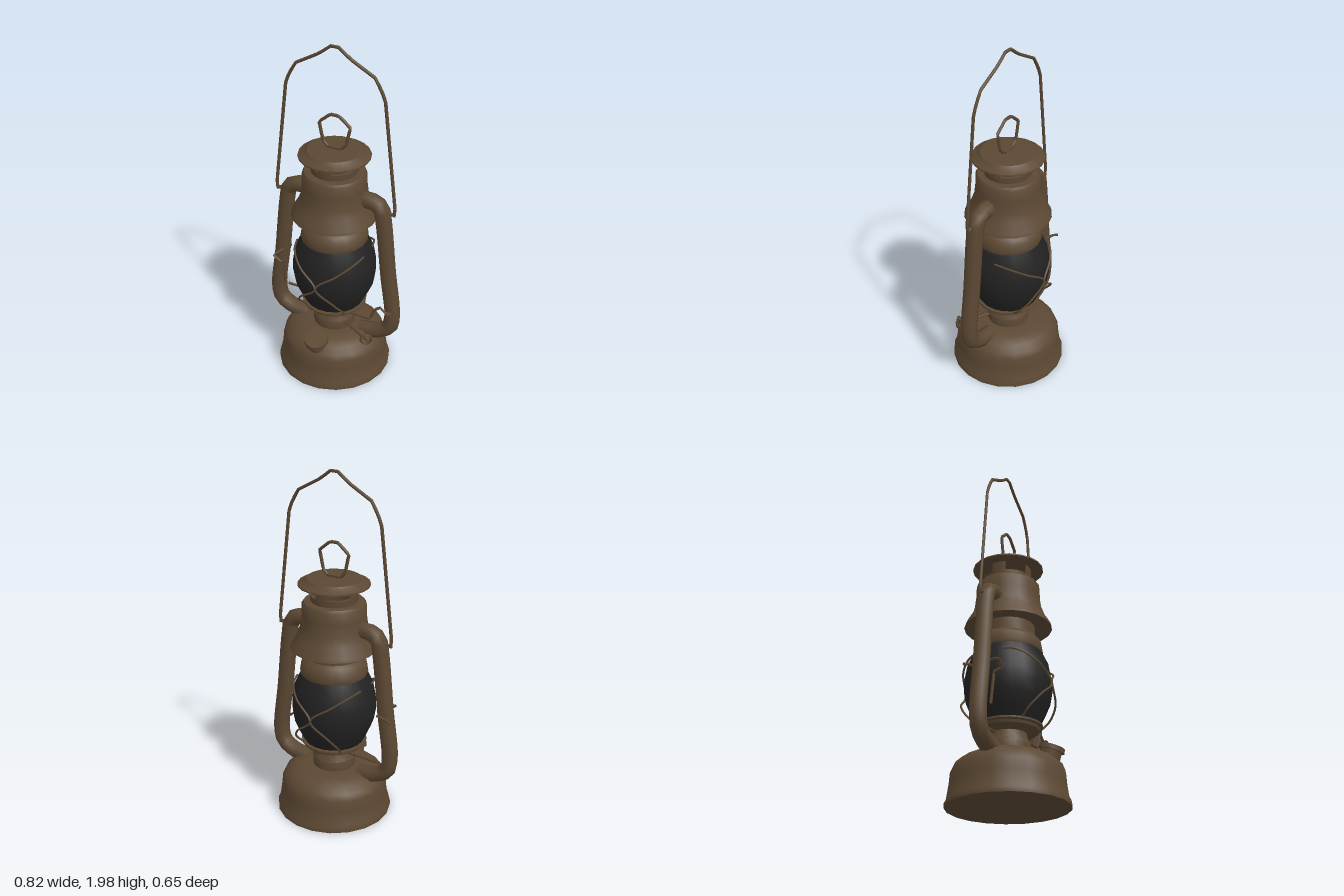
import * as THREE from 'three';
import { toCreasedNormals } from 'three/addons/utils/BufferGeometryUtils.js';

const metal = new THREE.MeshStandardMaterial({ color: 0x5c4833, side: THREE.DoubleSide });
metal.name = 'aged brown metal';
const glass = new THREE.MeshStandardMaterial({ color: 0x222222 });
glass.name = 'sooty glass';

const V = (p) => new THREE.Vector3(...p);

export function createModel() {
  const lantern = new THREE.Group();
  lantern.name = 'lantern';

  const add = (name, geometry, material = metal, parent = lantern) => {
    const mesh = new THREE.Mesh(geometry, material);
    mesh.name = name;
    parent.add(mesh);
    return mesh;
  };

  // Turned part from [radius, height] pairs, bottom to top
  const turned = (name, profile, material = metal) => {
    const points = profile.map(([r, y]) => new THREE.Vector2(r, y));
    const geometry = new THREE.LatheGeometry(points, 20, Math.PI / 20);
    return add(name, toCreasedNormals(geometry, 0.7), material);
  };

  // Bent rod: straight runs with sharp bends, or a smooth curve
  const rod = (name, pts, radius, { smooth = false, closed = false, sides = 6, steps = 4 } = {}) => {
    const points = pts.map(V);
    let path;
    if (smooth) {
      path = new THREE.CatmullRomCurve3(points, closed, 'centripetal');
    } else {
      path = new THREE.CurvePath();
      const last = closed ? points.length : points.length - 1;
      for (let i = 0; i < last; i++) {
        path.add(new THREE.LineCurve3(points[i], points[(i + 1) % points.length]));
      }
    }
    const geometry = new THREE.TubeGeometry(path, pts.length * steps, radius, sides, closed);
    return add(name, geometry);
  };

  // Fuel tank with a hollow underside
  turned('fuelTank', [
    [0, 0.03], [0.2, 0.025], [0.31, 0.008], [0.328, 0.008], [0.328, 0.03], [0.317, 0.05],
    [0.305, 0.13], [0.3, 0.19], [0.285, 0.225], [0.25, 0.255], [0.2, 0.28], [0.12, 0.285], [0, 0.285],
  ]);

  // Burner and globe seat
  turned('burner', [
    [0.12, 0.28], [0.122, 0.34], [0.107, 0.36], [0.1, 0.4], [0.12, 0.41], [0.165, 0.415],
    [0.17, 0.43], [0.185, 0.435], [0.185, 0.445], [0.165, 0.447], [0, 0.447],
  ]);

  // Glass globe
  turned('globe', [
    [0.165, 0.44], [0.195, 0.5], [0.225, 0.57], [0.237, 0.64],
    [0.236, 0.7], [0.222, 0.78], [0.182, 0.865],
  ], glass);

  // Collar above the globe
  turned('globeCollar', [
    [0, 0.855], [0.185, 0.855], [0.19, 0.87], [0.182, 0.92], [0.165, 0.94], [0.148, 0.955], [0.146, 1.05],
  ]);

  // Flared hood
  turned('hood', [
    [0.14, 1.02], [0.225, 1.012], [0.242, 1.012], [0.235, 1.03], [0.205, 1.08], [0.187, 1.13],
    [0.178, 1.2], [0.176, 1.265], [0.165, 1.28], [0.13, 1.283],
  ]);

  // Vented chimney: ring, four posts and a cap
  turned('chimneyRing', [[0.13, 1.28], [0.132, 1.318], [0.115, 1.318], [0.11, 1.28]]);
  for (let i = 0; i < 4; i++) {
    const post = add('ventPost', new THREE.CylinderGeometry(0.13, 0.13, 0.075, 4, 1, true, -0.31, 0.62));
    post.position.y = 1.345;
    post.rotation.y = i * Math.PI / 2;
  }
  turned('chimneyCap', [
    [0, 1.37], [0.13, 1.37], [0.198, 1.372], [0.197, 1.38], [0.16, 1.396],
    [0.15, 1.407], [0.08, 1.412], [0, 1.415],
  ]);

  // Lifting ring on the cap
  rod('capRing', [
    [-0.035, 1.412, 0], [-0.068, 1.445, 0], [-0.09, 1.55, 0], [-0.025, 1.605, 0],
    [0.025, 1.605, 0], [0.09, 1.55, 0], [0.068, 1.445, 0], [0.035, 1.412, 0],
  ], 0.009, { closed: true });
  const lug = add('capRingLug', new THREE.BoxGeometry(0.08, 0.02, 0.03));
  lug.position.y = 1.415;

  // Carrying handle with small end hooks
  const half = [[0.35, 1.08], [0.357, 1.1], [0.28, 1.75], [0.225, 1.855], [0.09, 1.93], [0.05, 1.96], [0.03, 1.98]];
  rod('carryHandle', [
    ...half.map(([x, y]) => [-x, y, 0]), [0, 1.99, 0], ...half.reverse().map(([x, y]) => [x, y, 0]),
  ], 0.009, { steps: 3 });

  for (const s of [-1, 1]) {
    // Hollow side tube from hood to tank
    rod('sideTube', [
      [s * 0.14, 1.14, 0], [s * 0.23, 1.14, 0], [s * 0.275, 1.11, 0], [s * 0.292, 1.03, 0],
      [s * 0.328, 0.7, 0], [s * 0.362, 0.41, 0], [s * 0.345, 0.33, 0], [s * 0.28, 0.285, 0], [s * 0.17, 0.262, 0],
    ], 0.047, { smooth: true, sides: 8, steps: 3 });

    // Handle eyelet on the tube shoulder
    rod('handleHook', [[s * 0.28, 1.1, 0], [s * 0.355, 1.085, 0]], 0.009);

    // Crossed guard wires, front (s = 1) and back (s = -1)
    for (const m of [-1, 1]) {
      rod('guardWire', [
        [m * 0.205, 0.81, s * 0.06], [m * 0.18, 0.795, s * 0.14], [m * 0.11, 0.745, s * 0.215],
        [0, 0.655, s * 0.252], [m * 0.1, 0.56, s * 0.23], [m * 0.135, 0.49, s * 0.18], [m * 0.12, 0.44, s * 0.13],
      ], 0.006, { smooth: true, sides: 5 });
    }
    // Guard wire loop standing off the globe
    rod('guardLoop', [
      [-0.16, 0.8, s * 0.12], [-0.09, 0.775, s * 0.215], [-0.02, 0.68, s * 0.262],
      [0.02, 0.6, s * 0.262], [0.07, 0.5, s * 0.21], [0.1, 0.44, s * 0.14],
    ].map(([x, y, z]) => [x * 0.9, y, z]), 0.004, { smooth: true, sides: 5 }).visible = false;
  }
  lantern.children.filter((c) => !c.visible).forEach((c) => lantern.remove(c));

  // Filler cap, tilted outwards on the tank shoulder
  const filler = new THREE.Group();
  filler.name = 'fillerCap';
  filler.position.set(0, 0.265, 0.235);
  filler.rotation.x = 0.32;
  lantern.add(filler);
  add('fillerNeck', new THREE.CylinderGeometry(0.055, 0.06, 0.07, 12), metal, filler).position.y = -0.015;
  add('fillerLid', new THREE.CylinderGeometry(0.066, 0.07, 0.025, 12), metal, filler).position.y = 0.03;

  // Wick adjuster: stem and ring
  rod('wickStem', [[0.08, 0.325, 0.05], [0.285, 0.325, 0.165]], 0.008);
  const wickRing = add('wickRing', new THREE.TorusGeometry(0.03, 0.008, 6, 12));
  wickRing.position.set(0.27, 0.327, 0.157);
  wickRing.rotation.y = 0.5;

  // Globe lifting lever: crossbar and bent thumb grip
  rod('globeLever', [
    [-0.325, 0.395, -0.05], [-0.1, 0.395, -0.04], [0.1, 0.395, 0.05], [0.25, 0.397, 0.06],
    [0.28, 0.475, 0.06], [0.31, 0.492, 0.055], [0.335, 0.47, 0.055], [0.37, 0.45, 0.058],
  ], 0.008);
  const grip = add('leverGrip', new THREE.BoxGeometry(0.025, 0.03, 0.025));
  grip.position.set(0.365, 0.455, 0.06);

  // Wire catch on the right tube
  rod('wireCatch', [
    [-0.3, 0.47, 0.04], [-0.295, 0.64, 0.055], [-0.292, 0.655, 0.1], [-0.34, 0.69, 0.1], [-0.31, 0.7, 0.04],
  ], 0.008);
  rod('rearCatch', [[-0.3, 0.68, -0.045], [-0.37, 0.67, -0.055], [-0.4, 0.66, -0.065]], 0.008);

  return lantern;
}
